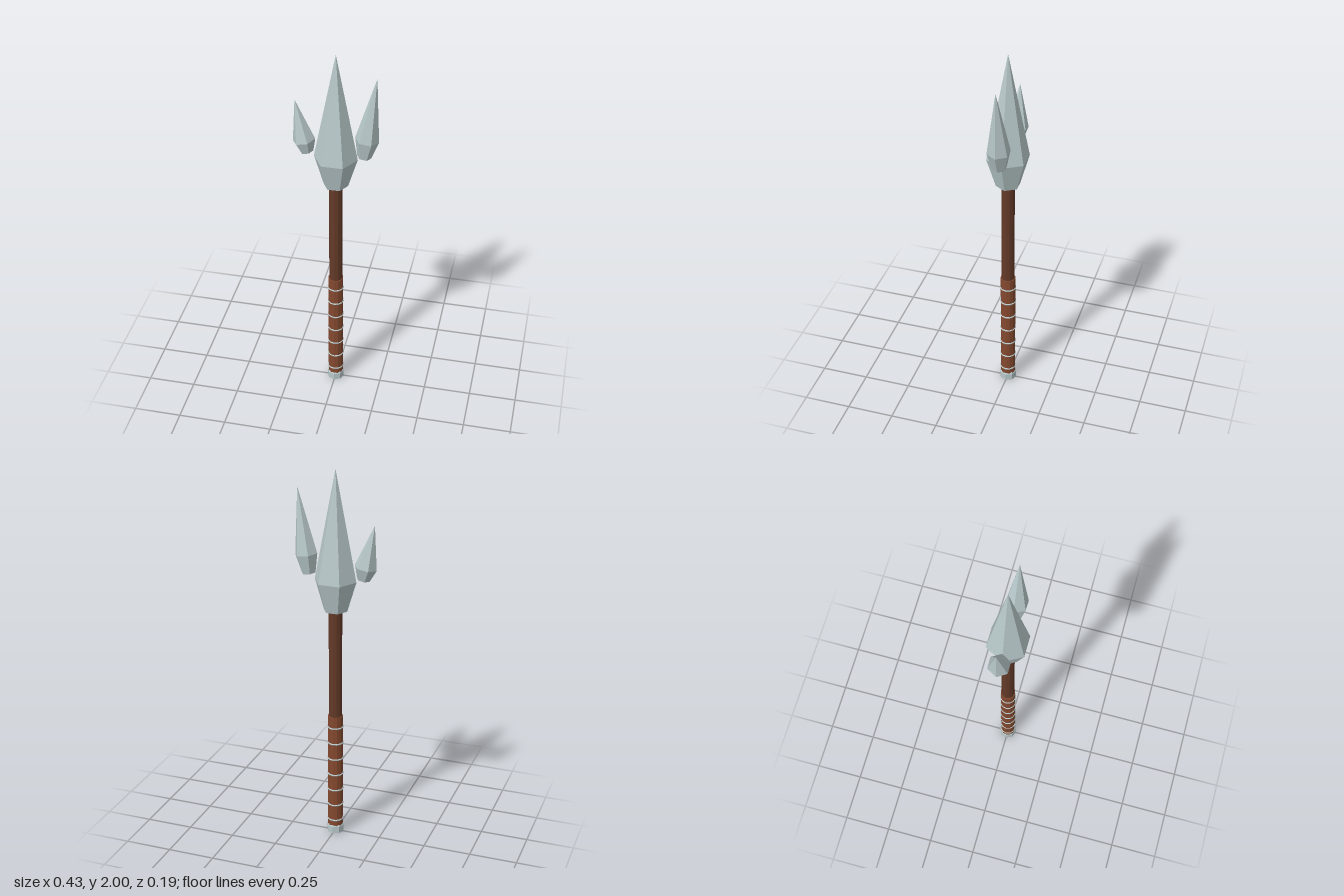
import * as THREE from 'three';

const material = (name, color, flat = true) => {
  const m = new THREE.MeshStandardMaterial({ color, flatShading: flat });
  m.name = name;
  return m;
};

export function createModel() {
  const steel = material('steel', 0xb8c8ca);
  const wood = material('dark wood', 0x633a28);
  const leather = material('grip leather', 0x84492f);
  const group = new THREE.Group();
  group.name = 'trident';

  const add = (name, geometry, mat, parent = group) => {
    const mesh = new THREE.Mesh(geometry, mat);
    mesh.name = name;
    parent.add(mesh);
    return mesh;
  };

  // Upright cylinder between two heights
  const rod = (name, rBottom, rTop, y0, y1, sides, mat) => {
    const geo = new THREE.CylinderGeometry(rTop, rBottom, y1 - y0, sides);
    geo.translate(0, (y0 + y1) / 2, 0);
    return add(name, geo, mat);
  };

  // Six-sided spike: tapered foot below the widest ring, long point above it
  const spike = (name, x, y, tilt, radius, footRadius, footLength, pointLength) => {
    const part = new THREE.Group();
    part.name = name;
    const point = new THREE.ConeGeometry(radius, pointLength, 6, 1, true);
    point.translate(0, pointLength / 2, 0);
    const foot = new THREE.CylinderGeometry(radius, footRadius, footLength, 6);
    foot.translate(0, -footLength / 2, 0);
    for (const geo of [point, foot]) geo.rotateY(Math.PI / 6);
    add(name + 'Point', point, steel, part);
    add(name + 'Foot', foot, steel, part);
    part.position.set(x, y, 0);
    part.rotation.z = tilt;
    group.add(part);
  };

  // Shaft and wrapped grip
  rod('shaft', 0.035, 0.035, 0.6, 1.3, 12, wood);
  rod('grip', 0.04, 0.04, 0.04, 0.685, 12, leather);

  // Thin bands around the grip
  for (let i = 0; i < 7; i++) {
    const band = new THREE.TorusGeometry(0.039, 0.005, 6, 12);
    band.rotateX(Math.PI / 2);
    add('gripBand', band, steel).position.y = 0.077 + i * 0.0907;
  }

  // Pommel with a bevelled top
  rod('pommel', 0.045, 0.045, 0, 0.038, 8, steel);
  rod('pommelBevel', 0.045, 0.038, 0.038, 0.05, 8, steel);

  // Three blades of different lengths
  spike('centreBlade', 0, 1.43, 0, 0.111, 0.063, 0.16, 0.57);
  spike('rightBlade', -0.16, 1.515, 0.2, 0.058, 0.034, 0.066, 0.225);
  spike('leftBlade', 0.156, 1.553, -0.13, 0.06, 0.036, 0.1, 0.345);

  return group;
}
